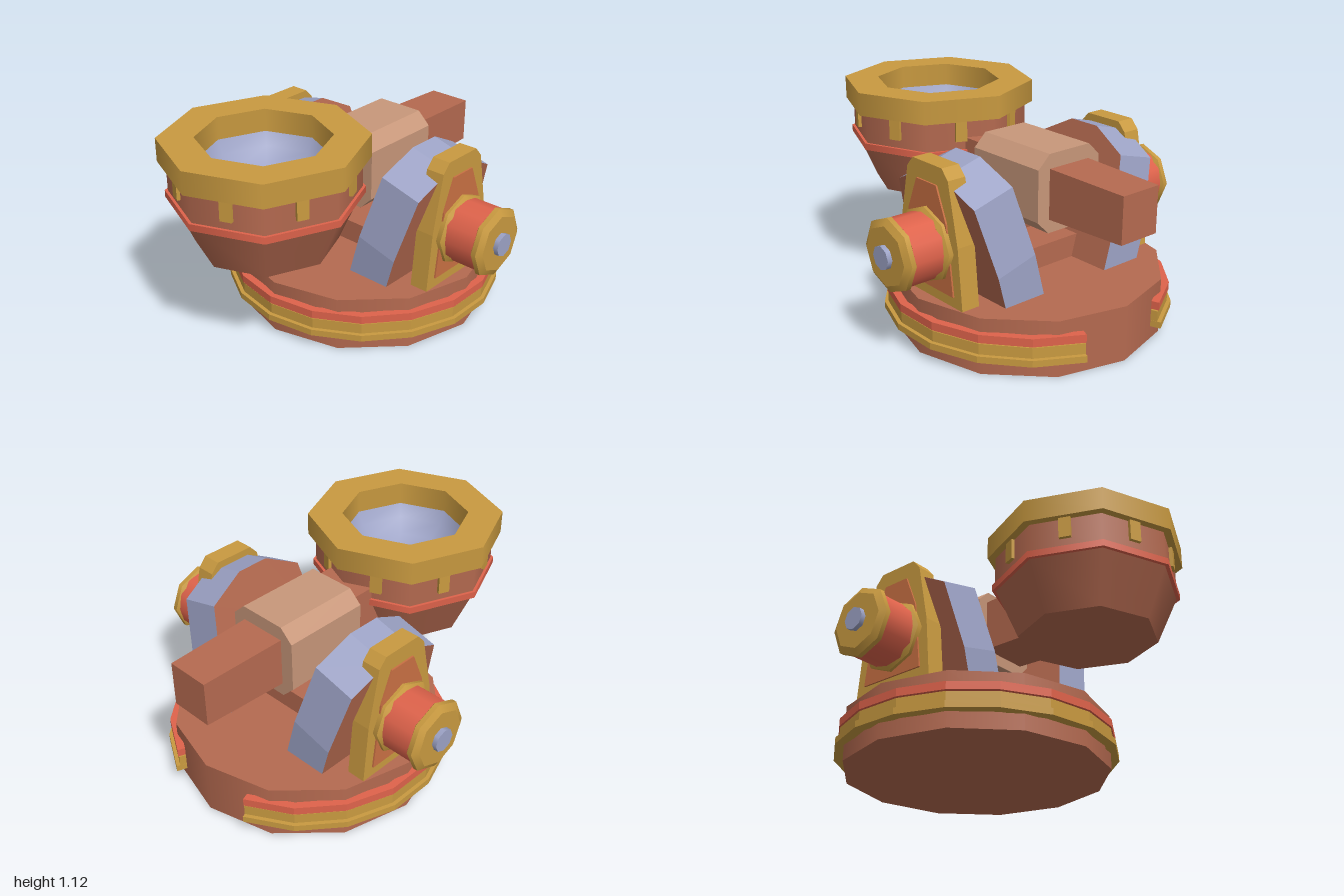
import * as THREE from 'three';
import { mergeGeometries } from 'three/addons/utils/BufferGeometryUtils.js';

const paint = (name, color, side = THREE.FrontSide) => {
  const m = new THREE.MeshStandardMaterial({ color, side });
  m.name = name;
  return m;
};

// Turned solid: smooth around the axis, sharp between profile segments
function turned(profile, sides) {
  const bands = [];
  for (let i = 0; i < profile.length - 1; i++) {
    const pair = [profile[i], profile[i + 1]].map(([r, y]) => new THREE.Vector2(r, y));
    bands.push(new THREE.LatheGeometry(pair, sides));
  }
  return mergeGeometries(bands);
}

// Outline extruded evenly about its own plane
function slab(points, depth) {
  const shape = new THREE.Shape(points.map(([x, y]) => new THREE.Vector2(x, y)));
  return new THREE.ExtrudeGeometry(shape, { depth, bevelEnabled: false }).translate(0, 0, -depth / 2);
}

// Half outline mirrored into a full closed one
const mirrored = (half) => [...half, ...half.map(([x, y]) => [-x, y]).reverse()];

// Band around the base, open at the back
function openBand(outer, height) {
  const arc = (r) => Array.from({ length: 17 }, (_, i) => {
    const a = THREE.MathUtils.degToRad(20 + i * 20);
    return [r * Math.sin(a), r * Math.cos(a)];
  });
  return slab([...arc(outer), ...arc(0.69).reverse()], height).rotateX(-Math.PI / 2);
}

export function createModel() {
  const model = new THREE.Group();
  model.name = 'pivotingCup';
  const brown = paint('brown clay', 0xb56a50);
  const gold = paint('gold', 0xc99a40);
  const red = paint('red', 0xdf634b);
  const blue = paint('blue grey', 0x9da3c6);
  const blueOpen = blue;
  blueOpen.side = THREE.DoubleSide;
  const tan = paint('tan', 0xc8977a);
  const orange = paint('orange', 0xc97043);

  const add = (parent, name, geometry, material, x = 0, y = 0, z = 0) => {
    const mesh = new THREE.Mesh(geometry, material);
    mesh.name = name;
    mesh.position.set(x, y, z);
    parent.add(mesh);
    return mesh;
  };

  // Base drum and its bands
  const base = new THREE.Group();
  base.name = 'base';
  base.position.z = -0.25;
  model.add(base);
  add(base, 'drum', turned([[0, 0], [0.7, 0], [0.7, 0.29], [0, 0.29]], 12), brown);
  add(base, 'redBand', openBand(0.73, 0.042), red, 0, 0.2);
  add(base, 'upperGoldBand', openBand(0.725, 0.055), gold, 0, 0.145);
  add(base, 'lowerGoldBand', openBand(0.745, 0.034), gold, 0, 0.1);
  add(base, 'crossBeam', new THREE.BoxGeometry(1.08, 0.14, 0.23), brown, 0, 0.34);

  // Side supports, the second turned half round
  for (const side of [1, -1]) {
    const support = new THREE.Group();
    support.name = side > 0 ? 'leftSupport' : 'rightSupport';
    support.rotation.y = side > 0 ? 0 : Math.PI;
    base.add(support);

    const legOutline = mirrored([[0.35, -0.06], [0.35, 0.2], [0.29, 0.555], [0.09, 0.662]]);
    const leg = add(support, 'leaningLeg', slab(legOutline, 0.235).rotateY(Math.PI / 2), [brown, blue], 0.33, 0.29);
    leg.rotation.z = -THREE.MathUtils.degToRad(15);

    const plateOutline = mirrored([[0.25, 0.28], [0.22, 0.6], [0.155, 0.91], [0.11, 0.96]]);
    add(support, 'bearingPlate', slab(plateOutline, 0.1).rotateY(Math.PI / 2), gold, 0.58);
    const panelOutline = mirrored([[0.19, 0.345], [0.145, 0.7], [0.075, 0.87]]);
    add(support, 'platePanel', slab(panelOutline, 0.009).rotateY(Math.PI / 2), orange, 0.6345);

    // Knob parts, turned along the x axis
    const knob = new THREE.Group();
    knob.name = 'knob';
    knob.position.y = 0.56;
    knob.rotation.z = -Math.PI / 2;
    support.add(knob);
    add(knob, 'innerAxle', turned([[0, 0.4], [0.15, 0.4], [0.15, 0.54], [0, 0.54]], 8), blue);
    add(knob, 'flange', turned([[0, 0.63], [0.19, 0.63], [0.19, 0.655], [0.165, 0.672], [0, 0.672]], 8), gold);
    add(knob, 'grip', turned([[0, 0.66], [0.168, 0.66], [0.168, 0.83], [0, 0.83]], 12), red);
    add(knob, 'cap', turned([[0, 0.82], [0.16, 0.82], [0.185, 0.835], [0.185, 0.86], [0.15, 0.88], [0, 0.88]], 8), gold);
    add(knob, 'axleEnd', turned([[0, 0.87], [0.06, 0.87], [0.06, 0.905], [0, 0.905]], 8), blue);
  }

  // Tapered arm, thicker towards the cup
  const armGeometry = new THREE.BoxGeometry(2, 2, 1.17);
  const p = armGeometry.attributes.position;
  for (let i = 0; i < p.count; i++) {
    const front = p.getZ(i) > 0;
    p.setX(i, p.getX(i) * (front ? 0.145 : 0.115));
    p.setY(i, p.getY(i) * (front ? 0.145 : 0.118));
  }
  armGeometry.computeVertexNormals();
  add(model, 'arm', armGeometry, brown, 0, 0.764, -0.415);

  // Chamfered clamp around the arm
  const clampOutline = mirrored([[0.13, 0.565], [0.2, 0.635], [0.2, 0.9], [0.13, 0.967]]);
  add(model, 'armClamp', slab(clampOutline, 0.47), tan, 0, 0, -0.305);

  // Eight-sided cup
  const cup = new THREE.Group();
  cup.name = 'cup';
  cup.position.z = 0.485;
  model.add(cup);
  add(cup, 'cupBody', turned([[0, 0.56], [0.355, 0.56], [0.47, 0.82], [0.47, 1.01]], 8), brown);
  add(cup, 'cupBand', turned([[0.45, 0.81], [0.485, 0.81], [0.485, 0.845], [0.45, 0.845]], 8), red);
  add(cup, 'rim', turned([[0.33, 1], [0.51, 1], [0.51, 1.12], [0.33, 1.12], [0.33, 1]], 8), gold);
  const bowlCurve = [[0, 0.8], [0.12, 0.815], [0.23, 0.865], [0.3, 0.93], [0.34, 1.01]];
  add(cup, 'bowl', new THREE.LatheGeometry(bowlCurve.map(([r, y]) => new THREE.Vector2(r, y)), 8), blueOpen);
  for (let i = 0; i < 8; i++) {
    const a = (i + 0.5) * Math.PI / 4;
    const tab = add(cup, 'rimTab', new THREE.BoxGeometry(0.06, 0.115, 0.04), gold,
      0.432 * Math.sin(a), 0.948, 0.432 * Math.cos(a));
    tab.rotation.y = a;
  }
  return model;
}
